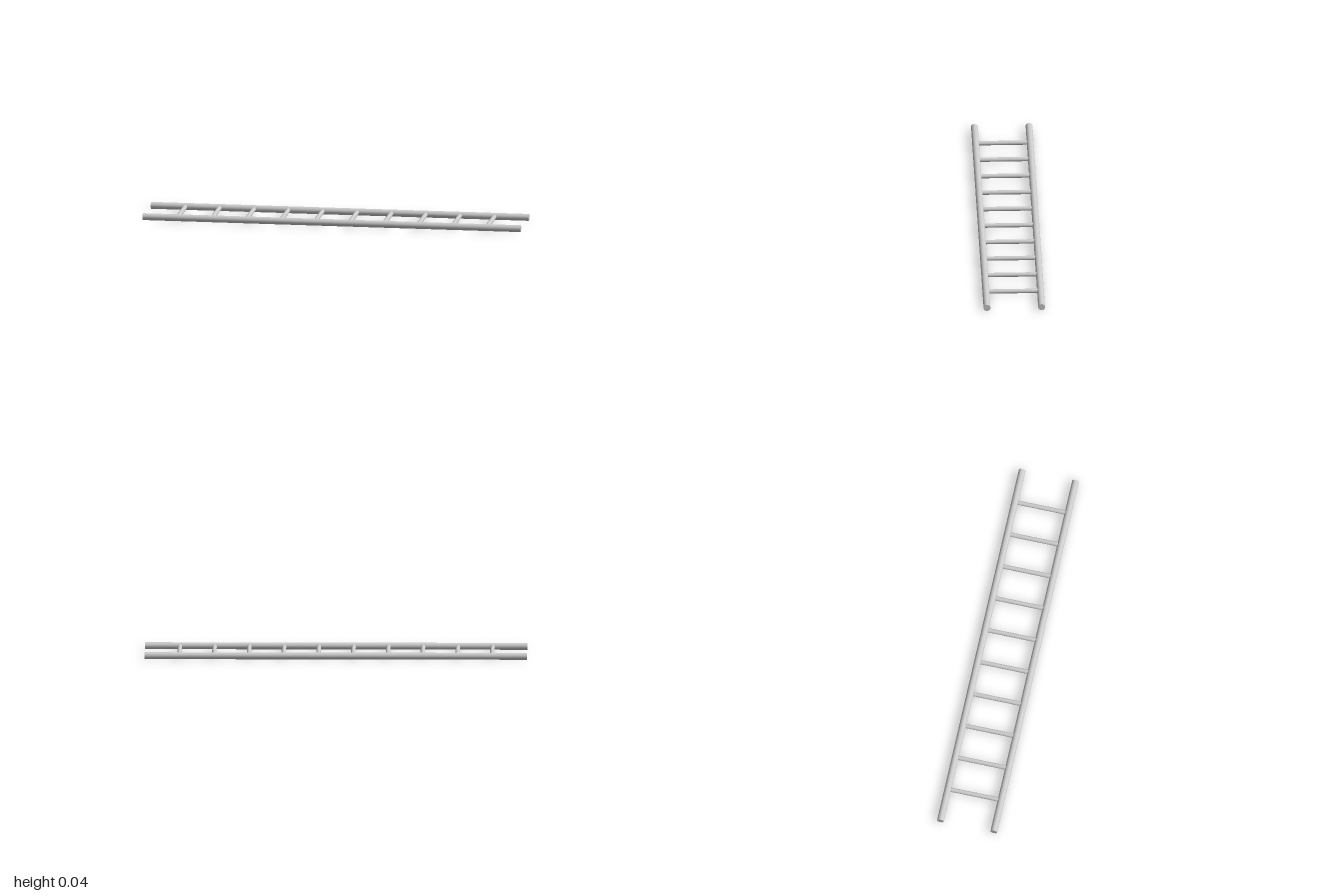
import * as THREE from 'three';

const LENGTH = 2, RAIL_R = 0.018, RUNG_R = 0.0115, RAIL_Z = 0.143, RUNGS = 10;

export function createModel() {
  const group = new THREE.Group();
  group.name = 'ladder';
  const material = new THREE.MeshStandardMaterial({ color: 0xcccccc });

  // Two long round side rails along x
  const railGeometry = new THREE.CylinderGeometry(RAIL_R, RAIL_R, LENGTH, 32).rotateZ(Math.PI / 2);
  for (const side of [1, -1]) {
    const rail = new THREE.Mesh(railGeometry, material);
    rail.name = side > 0 ? 'frontRail' : 'backRail';
    rail.position.set(0, RAIL_R, side * RAIL_Z);
    group.add(rail);
  }

  // Evenly spaced round rungs, ending inside the rails
  const rungGeometry = new THREE.CylinderGeometry(RUNG_R, RUNG_R, RAIL_Z * 2, 32).rotateX(Math.PI / 2);
  for (let i = 1; i <= RUNGS; i++) {
    const rung = new THREE.Mesh(rungGeometry, material);
    rung.name = `rung${i}`;
    rung.position.set(-LENGTH / 2 + (LENGTH * i) / (RUNGS + 1), RAIL_R, 0);
    group.add(rung);
  }

  return group;
}
